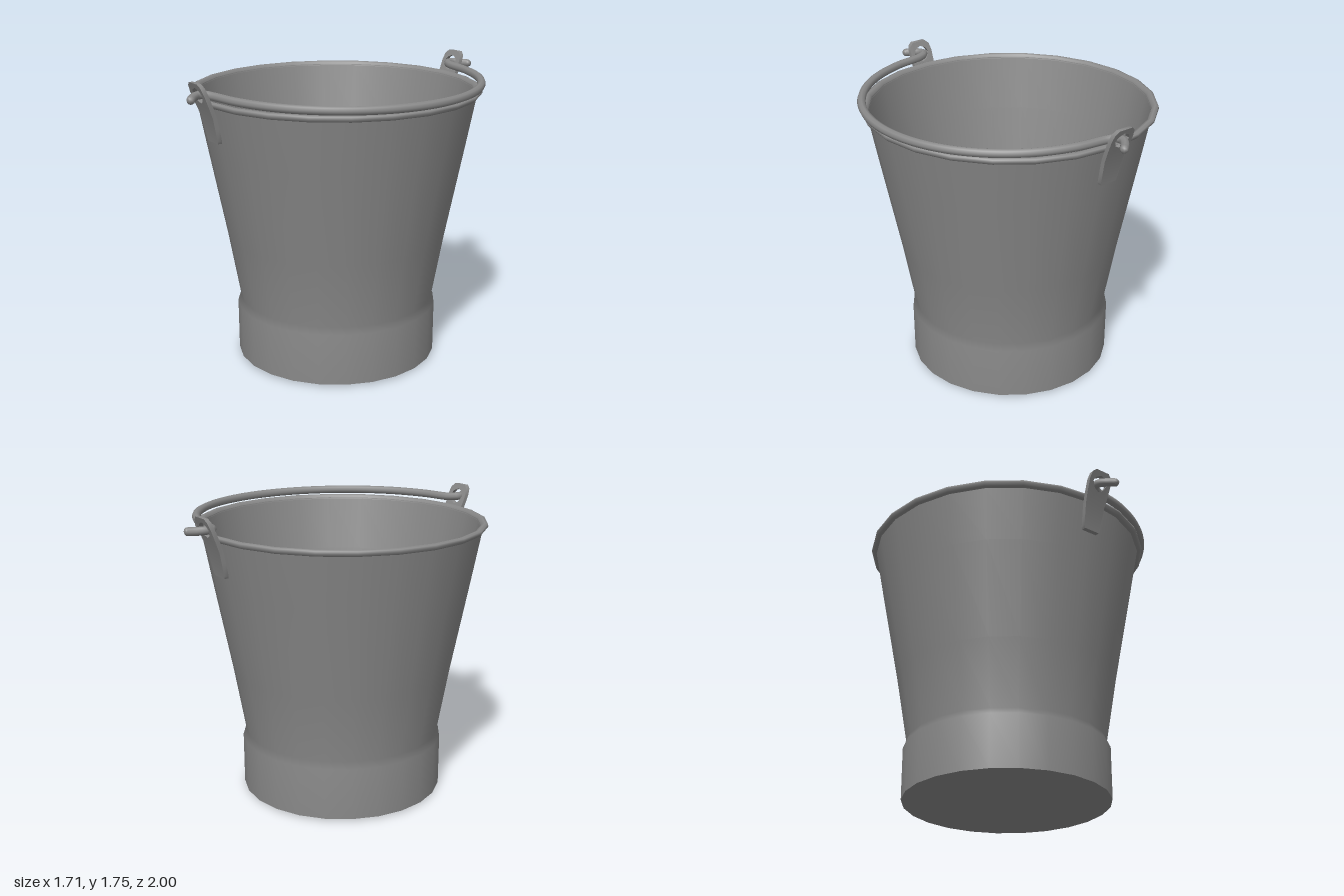
import * as THREE from 'three';
import { toCreasedNormals } from 'three/addons/utils/BufferGeometryUtils.js';

const SIDES = 24;
const steel = new THREE.MeshStandardMaterial({ color: 0x898989, side: THREE.DoubleSide });

function part(name, geometry) {
  const mesh = new THREE.Mesh(geometry, steel);
  mesh.name = name;
  return mesh;
}

function lathe(name, points) {
  return part(name, new THREE.LatheGeometry(points.map(([r, y]) => new THREE.Vector2(r, y)), SIDES));
}

// Piecewise-linear lean of the lug: distance from the axis at height y
const LEAN = [[1.41, 0.807], [1.56, 0.842], [1.66, 0.883], [1.75, 0.919]];
function leanAt(y) {
  let i = 0;
  while (i < LEAN.length - 2 && y > LEAN[i + 1][0]) i++;
  const [y0, z0] = LEAN[i], [y1, z1] = LEAN[i + 1];
  return z0 + (z1 - z0) * (y - y0) / (y1 - y0);
}

// Tapered strap with an eye, bent to follow the wall and flare past the rim
function lugGeometry() {
  const right = [[0.05, 1.41], [0.057, 1.425], [0.063, 1.5], [0.067, 1.56], [0.073, 1.62],
    [0.076, 1.69], [0.068, 1.73], [0.045, 1.75]];
  const left = right.map(([x, y]) => [-x, y]).reverse();
  const shape = new THREE.Shape([...right, ...left].map(([x, y]) => new THREE.Vector2(x, y)));
  const eye = [[0, 1.635], [-0.03, 1.65], [-0.05, 1.685], [-0.035, 1.71], [0, 1.725],
    [0.035, 1.71], [0.05, 1.685], [0.03, 1.65]];
  shape.holes.push(new THREE.Path(eye.map(([x, y]) => new THREE.Vector2(x, y))));
  const geo = new THREE.ExtrudeGeometry(shape, { depth: 0.026, bevelEnabled: false });
  const pos = geo.attributes.position;
  for (let i = 0; i < pos.count; i++) pos.setZ(i, pos.getZ(i) - 0.013 + leanAt(pos.getY(i)));
  return toCreasedNormals(geo, 0.8);
}

// Wire bail lying over one half of the rim, its ends hooked through the lugs
function bail() {
  const group = new THREE.Group();
  group.name = 'bail';
  const hook = [[0.04, 1.672, 0.975], [0.005, 1.675, 0.945], [-0.022, 1.68, 0.905],
    [-0.018, 1.68, 0.865], [0.025, 1.676, 0.84]];
  const points = hook.map((p) => new THREE.Vector3(...p));
  for (let i = 1; i < 12; i++) {
    const a = (i / 12) * Math.PI;
    points.push(new THREE.Vector3(0.832 * Math.sin(a), 1.676 - 0.012 * Math.sin(a), 0.832 * Math.cos(a)));
  }
  for (const [x, y, z] of hook.slice().reverse()) points.push(new THREE.Vector3(x, y, -z));
  const curve = new THREE.CatmullRomCurve3(points);
  group.add(part('bailWire', new THREE.TubeGeometry(curve, 110, 0.024, 8)));
  for (const end of [points[0], points[points.length - 1]]) {
    const tip = part('bailTip', new THREE.SphereGeometry(0.024, 8, 6));
    tip.position.copy(end);
    group.add(tip);
  }
  return group;
}

export function createModel() {
  const model = new THREE.Group();
  model.name = 'bucket';

  const body = new THREE.Group();
  body.name = 'body';
  body.position.x = -0.007;
  // Outer skin: base band, neck and flaring wall
  body.add(lathe('outerWall', [[0.6, 0.012], [0.601, 0.32], [0.582, 0.36],
    [0.65, 0.75], [0.757, 1.3], [0.815, 1.605]]));
  // Rolled rim
  body.add(lathe('rim', [[0.812, 1.6], [0.832, 1.603], [0.845, 1.618], [0.842, 1.632],
    [0.825, 1.638], [0.808, 1.632], [0.801, 1.612]]));
  // Inner skin down to the floor
  body.add(lathe('innerWall', [[0.803, 1.62], [0.742, 1.3], [0.635, 0.75],
    [0.567, 0.36], [0.538, 0.1]]));
  body.add(lathe('floor', [[0.538, 0.1], [0, 0.1]]));
  body.add(lathe('underside', [[0, 0], [0.6, 0.012]]));
  model.add(body);

  // Front and back lugs
  const geo = lugGeometry();
  for (const [name, turn] of [['frontLug', 0], ['backLug', Math.PI]]) {
    const lug = part(name, geo);
    lug.rotation.y = turn;
    lug.position.x = -0.012;
    model.add(lug);
  }

  model.add(bail());
  return model;
}
